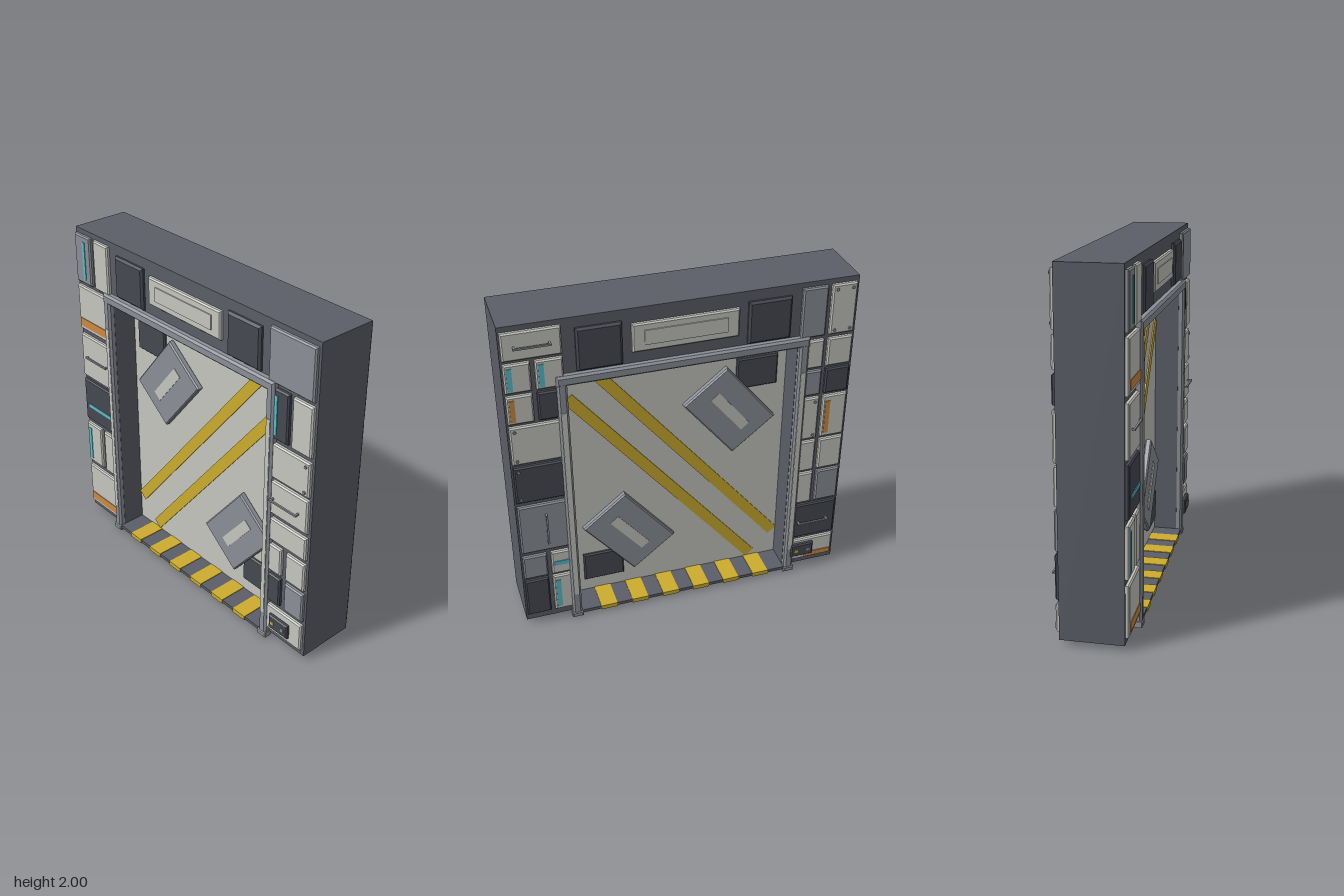
import * as THREE from 'three';

const mat = (name, color) => {
  const m = new THREE.MeshStandardMaterial({ color });
  m.name = name;
  return m;
};

export function createModel() {
  const M = {
    body: mat('wall grey', 0x5b5e67),
    pale: mat('pale panel', 0xc6c6c0),
    mid: mat('mid grey', 0x8b8f96),
    dark: mat('dark grey', 0x464952),
    yellow: mat('hazard yellow', 0xccac2e),
    orange: mat('orange', 0xcc8a40),
    cyan: mat('cyan light', 0x58bfcc),
  };
  const root = new THREE.Group();
  root.name = 'doorway';

  const add = (parent, name, geo, m, x = 0, y = 0, z = 0) => {
    const mesh = new THREE.Mesh(geo, m);
    mesh.name = name;
    mesh.position.set(x, y, z);
    parent.add(mesh);
    return mesh;
  };
  // Plain box from its limits
  const box = (p, name, m, x0, x1, y0, y1, z0, z1) =>
    add(p, name, new THREE.BoxGeometry(x1 - x0, y1 - y0, z1 - z0), m,
      (x0 + x1) / 2, (y0 + y1) / 2, (z0 + z1) / 2);
  // Box with chamfered edges, its back face at z = 0
  const chamferGeo = (w, h, d, b = 0.008) => {
    const a = w / 2 - b, c = h / 2 - b;
    const s = new THREE.Shape([[-a, -c], [a, -c], [a, c], [-a, c]].map(q => new THREE.Vector2(...q)));
    return new THREE.ExtrudeGeometry(s, {
      depth: d - 2 * b, bevelEnabled: true, bevelSize: b, bevelThickness: b, bevelSegments: 1,
    }).translate(0, 0, b);
  };
  const chamfer = (p, name, m, x0, x1, y0, y1, z0, z1, b) =>
    add(p, name, chamferGeo(x1 - x0, y1 - y0, z1 - z0, b), m, (x0 + x1) / 2, (y0 + y1) / 2, z0);

  // Wall with a doorway open at the bottom
  const outline = [[-0.985, 0.03], [-0.65, 0.03], [-0.65, 1.62], [0.65, 1.62],
    [0.65, 0.03], [0.985, 0.03], [0.985, 2], [-0.985, 2]];
  const wall = new THREE.Shape(outline.map(q => new THREE.Vector2(...q)));
  add(root, 'wall', new THREE.ExtrudeGeometry(wall, { depth: 0.35, bevelEnabled: false }), M.body, 0, 0, -0.175);

  // Door leaf, sill, hazard bands and floor runners
  box(root, 'doorLeaf', M.pale, -0.65, 0.65, 0.035, 1.62, -0.03, 0.03);
  box(root, 'sill', M.body, -0.65, 0.65, 0.018, 0.038, -0.205, 0.205);
  for (let i = 0; i < 6; i++) {
    const x = -0.49 + i * 0.195;
    box(root, 'sillBand', M.yellow, x - 0.05, x + 0.05, 0.014, 0.042, -0.21, 0.21);
  }
  for (const s of [-1, 1])
    box(root, 'floorRunner', M.mid, s * 0.68 - 0.03, s * 0.68 + 0.03, 0.006, 0.03, -0.2, 0.2);

  const FACE = 0.17, TOP = 0.197;

  // Bar handle on two posts
  const handle = (p, x, y, len, vertical, out) => {
    const g = new THREE.Group();
    g.name = 'handle';
    g.position.set(x, y, TOP);
    if (vertical) g.rotation.z = Math.PI / 2;
    p.add(g);
    box(g, 'handleBar', M.mid, -len / 2, len / 2, -0.005, 0.005, out - 0.01, out);
    for (const s of [-1, 1])
      box(g, 'handlePost', M.mid, s * (len / 2 - 0.008) - 0.005, s * (len / 2 - 0.008) + 0.005, -0.005, 0.005, -0.005, out - 0.01);
  };

  // One wall panel: [material, x0, x1, y0, y1, detail, value]
  const panel = (p, [m, x0, x1, y0, y1, kind, v]) => {
    chamfer(p, 'wallPanel', M[m], x0, x1, y0, y1, FACE - 0.005, TOP);
    const w = x1 - x0, h = y1 - y0, cx = (x0 + x1) / 2, cy = (y0 + y1) / 2;
    if (kind === 'cyan' || kind === 'orange')
      box(p, kind + 'Strip', M[kind], x0 + v[0] * w, x0 + v[1] * w, y0 + v[2] * h, y0 + v[3] * h, TOP - 0.002, TOP + 0.004);
    if (kind === 'handle') handle(p, cx, cy, 0.2, false, v);
    if (kind === 'pull') handle(p, cx, cy, 0.2, true, v);
    if (kind === 'rivets')
      for (const sx of [-1, 1]) for (const sy of [-1, 1])
        add(p, 'rivet', new THREE.CylinderGeometry(0.009, 0.009, 0.01, 8).rotateX(Math.PI / 2), M.mid,
          cx + sx * (w / 2 - 0.027), cy + sy * (h / 2 - 0.027), TOP + 0.002);
  };

  const low = [0.05, 0.97, 0.09, 0.27], leftBar = [0.1, 0.3, 0.1, 0.88];
  const L = -0.975, R = 0.97, I = 0.665;
  const frontPanels = [
    ['mid', L, -0.83, 1.67, 1.97, 'cyan', [0.52, 0.67, 0.1, 0.88]],
    ['pale', -0.8, -I, 1.67, 1.97],
    ['pale', L, -I, 1.355, 1.645, 'orange', low],
    ['pale', L, -I, 1.03, 1.32, 'handle', 0.018],
    ['dark', L, -I, 0.715, 1.005, 'cyan', [0.13, 0.95, 0.34, 0.42]],
    ['pale', L, -0.83, 0.395, 0.685, 'cyan', leftBar],
    ['pale', -0.8, -I, 0.395, 0.685],
    ['pale', L, -I, 0.07, 0.36, 'orange', low],
    ['mid', 0.655, R, 1.67, 1.97],
    ['dark', I, 0.805, 1.35, 1.645, 'cyan', [0.32, 0.46, 0.1, 0.88]],
    ['pale', 0.83, R, 1.35, 1.645],
    ['pale', I, R, 1.11, 1.32, 'rivets'],
    ['pale', I, R, 0.88, 1.09, 'handle', 0.03],
    ['pale', I, R, 0.705, 0.85],
    ['pale', I, 0.795, 0.495, 0.675], ['pale', 0.83, R, 0.495, 0.675],
    ['dark', I, 0.795, 0.28, 0.47], ['mid', 0.83, R, 0.28, 0.47],
    ['pale', I, R, 0.07, 0.25],
  ];
  // Back panels, measured as seen from behind
  const backPanels = [
    ['pale', L, -I, 1.81, 1.97, 'handle', 0.03],
    ['pale', L, -0.835, 1.62, 1.79, 'cyan', leftBar],
    ['pale', -0.81, -I, 1.62, 1.79, 'cyan', leftBar],
    ['pale', L, -0.835, 1.43, 1.6, 'orange', leftBar],
    ['dark', -0.81, -I, 1.43, 1.6],
    ['pale', L, -I, 1.17, 1.41, 'rivets'],
    ['dark', L, -I, 0.91, 1.15, 'rivets'],
    ['mid', L, -I, 0.55, 0.88, 'pull', 0.03],
    ['mid', L, -0.835, 0.36, 0.52],
    ['pale', -0.81, -I, 0.36, 0.52, 'cyan', [0.1, 0.95, 0.4, 0.58]],
    ['dark', L, -0.835, 0.08, 0.34],
    ['pale', -0.81, -I, 0.08, 0.34, 'cyan', leftBar],
    ['mid', 0.655, 0.8, 1.67, 1.97],
    ['pale', 0.825, R, 1.67, 1.97, 'rivets'],
    ['pale', I, 0.8, 1.47, 1.645], ['pale', 0.825, R, 1.47, 1.645],
    ['mid', I, 0.8, 1.29, 1.45], ['dark', 0.825, R, 1.29, 1.45],
    ['pale', I, 0.8, 0.99, 1.27, 'rivets'],
    ['pale', 0.825, R, 0.99, 1.27, 'orange', leftBar],
    ['pale', I, 0.8, 0.76, 0.97, 'cyan', leftBar],
    ['pale', 0.825, R, 0.76, 0.97],
    ['pale', I, 0.8, 0.52, 0.74], ['mid', 0.825, R, 0.52, 0.74],
    ['dark', I, R, 0.25, 0.5, 'handle', 0.03],
    ['pale', I, R, 0.07, 0.225, 'orange', [0.4, 0.97, 0.09, 0.3]],
  ];

  // Everything on one side; dir mirrors the door pattern for the back
  const buildSide = (name, panels, dir, ctrlX) => {
    const g = new THREE.Group();
    g.name = name;
    if (dir < 0) g.rotation.y = Math.PI;
    root.add(g);
    panels.forEach(q => panel(g, q));

    // Header panels
    for (const s of [-1, 1])
      chamfer(g, 'headerPanel', M.dark, s * 0.47 - 0.123, s * 0.47 + 0.123, 1.69, 1.94, FACE - 0.005, 0.2, 0.012);
    chamfer(g, 'headerLamp', M.pale, -0.295, 0.295, 1.75, 1.915, FACE - 0.005, TOP);
    box(g, 'headerLampFace', M.pale, -0.23, 0.23, 1.79, 1.875, TOP - 0.002, TOP + 0.006);

    // Door frame with pale inlays
    for (const s of [-1, 1]) {
      const x = s * 0.68;
      chamfer(g, 'framePost', M.mid, x - 0.028, x + 0.028, 0.01, 1.66, 0.16, 0.21, 0.012);
      chamfer(g, 'frameFoot', M.mid, x - 0.033, x + 0.033, 0, 0.035, 0.16, 0.215, 0.006);
      box(g, 'postInlay', M.pale, x - 0.014, x + 0.014, 0.18, 1.46, 0.206, 0.213);
    }
    chamfer(g, 'frameLintel', M.mid, -0.71, 0.71, 1.62, 1.68, 0.16, 0.212, 0.012);

    // Door pattern: diagonal bands, tilted hatches and dark plates
    const angle = dir > 0 ? 0.892 : Math.PI - 0.892;
    for (const s of [-1, 1]) {
      const band = add(g, 'diagonalBand', new THREE.BoxGeometry(1.76, 0.068, 0.008), M.yellow,
        s * 0.073 * dir, 0.825 - s * 0.075, 0.033);
      band.rotation.z = angle;
      const hatch = new THREE.Group();
      hatch.name = 'doorHatch';
      hatch.position.set(s * 0.307 * dir, 0.82 - s * 0.37, 0.028);
      hatch.rotation.z = angle;
      g.add(hatch);
      add(hatch, 'hatchPlate', chamferGeo(0.48, 0.33, 0.04), M.mid);
      box(hatch, 'hatchSlot', M.pale, -0.15, 0.15, -0.032, 0.032, 0.038, 0.043);
      const x = s * 0.47 * dir, y = 0.82 - s * 0.595;
      chamfer(g, 'doorPlate', M.dark, x - 0.123, x + 0.123, y - 0.097, y + 0.097, 0.025, 0.05);
    }

    // Control box with two buttons
    chamfer(g, 'controlBox', M.dark, ctrlX - 0.073, ctrlX + 0.073, 0.113, 0.205, TOP - 0.005, 0.222);
    box(g, 'yellowButton', M.yellow, ctrlX - 0.05, ctrlX - 0.027, 0.15, 0.17, 0.22, 0.226);
    box(g, 'greyButton', M.mid, ctrlX + 0.027, ctrlX + 0.05, 0.15, 0.17, 0.22, 0.226);
  };
  buildSide('frontSide', frontPanels, 1, 0.815);
  buildSide('backSide', backPanels, -1, 0.76);

  return root;
}
